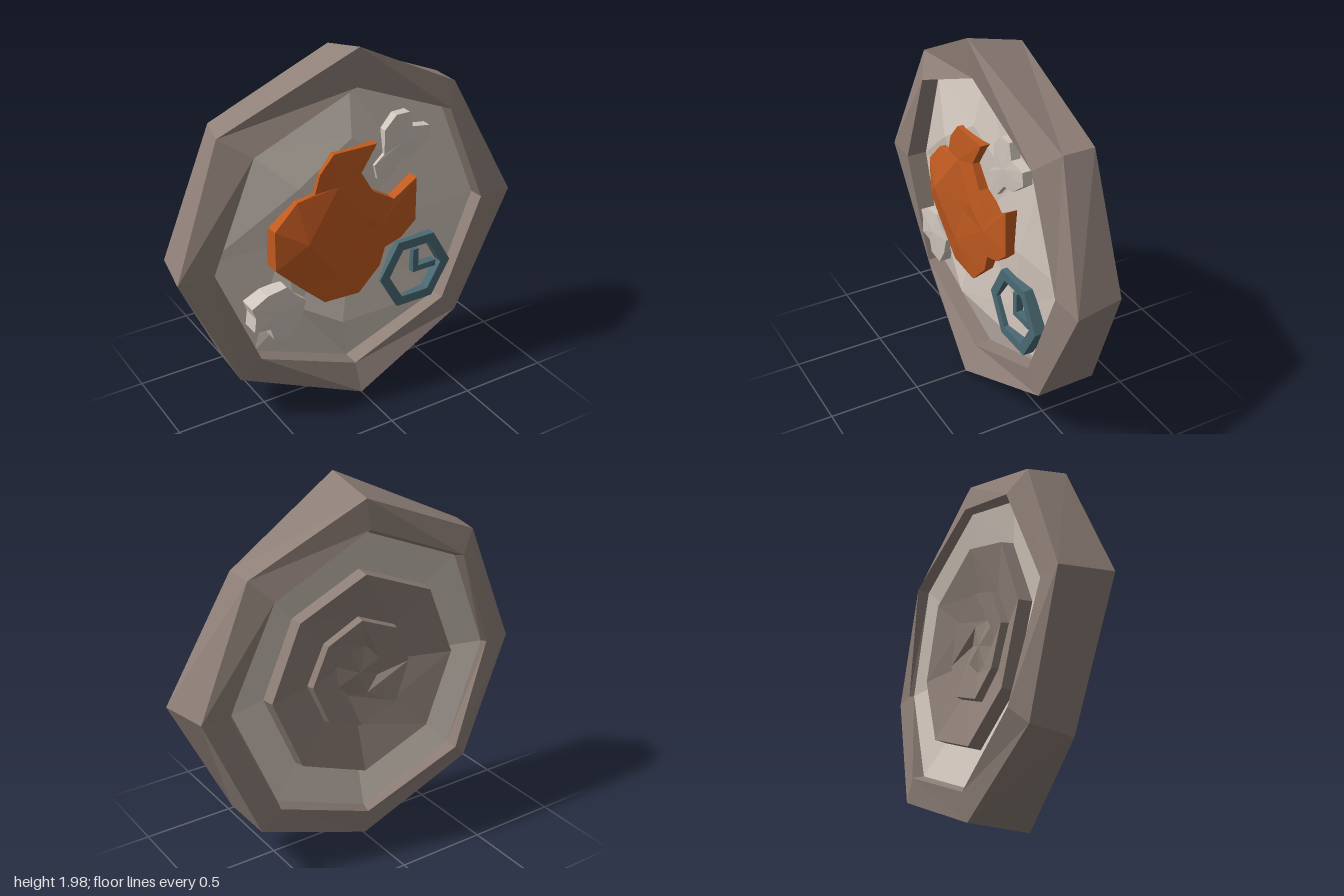
import * as THREE from 'three';

const mat = (name, color) => {
  const m = new THREE.MeshStandardMaterial({ color });
  m.name = name;
  return m;
};

// Faceted mesh from a list of triangles (each corner is [x, y, z])
function facets(name, tris, material) {
  const g = new THREE.BufferGeometry();
  g.setAttribute('position', new THREE.Float32BufferAttribute(tris.flat(2), 3));
  g.computeVertexNormals();
  const mesh = new THREE.Mesh(g, material);
  mesh.name = name;
  return mesh;
}

// Skin rings of equal length, running from the front outwards to the back
function loft(rings) {
  const tris = [];
  for (let r = 0; r < rings.length - 1; r++) {
    const a = rings[r], b = rings[r + 1];
    a.forEach((p, i) => {
      const j = (i + 1) % a.length;
      tris.push([p, b[i], b[j]], [p, b[j], a[j]]);
    });
  }
  return tris;
}

// Raised relief: an outline joined to a ring of hubs, which fan to a centre
function relief(outline, hubs, pick, centre) {
  const tris = [];
  outline.forEach((p, i) => {
    const j = (i + 1) % outline.length, h = hubs[pick[i]], k = hubs[pick[j]];
    tris.push([p, outline[j], h]);
    if (h !== k) tris.push([outline[j], k, h]);
  });
  if (hubs.length > 2) hubs.forEach((h, i) => tris.push([h, hubs[(i + 1) % hubs.length], centre]));
  return tris;
}

const atZ = (pts, z) => pts.map(([x, y]) => [x, y, z]);
const skirt = (pts, z) => loft([pts, atZ(pts, z)]);

// Eight-sided ring from the right corner anticlockwise; depths repeat around it
const MID = 0.96;
function octagon(r, depths, twist = 0) {
  return Array.from({ length: 8 }, (_, i) => {
    const a = i * Math.PI / 4 + twist;
    return [r * Math.cos(a), MID + r * Math.sin(a), depths[i % depths.length]];
  });
}

export function createModel() {
  const group = new THREE.Group();
  const stone = mat('brown stone', 0x8f8078);
  const pale = mat('pale stone', 0xd2c6bc);
  const chip = mat('pale chip', 0xcfc5bc);
  const orange = mat('burnt orange', 0xc05a20);
  const teal = mat('slate teal', 0x4a6a74);

  // Outer rim, with an inner wall down to the recessed face
  const faceEdge = octagon(0.805, [0.05, 0.05, 0.06, 0.04, 0.02, 0.05, 0.04, 0.06]);
  const frontInner = octagon(0.807, [0.135]);
  const frontOuter = [
    [1, 0.96, 0.13], [0.67, 1.63, 0.03], [0, 1.98, 0.16], [-0.72, 1.63, 0.05],
    [-1, 0.96, 0.13], [-0.67, 0.26, 0.08], [0, 0, 0.2], [0.67, 0.28, 0.13],
  ];
  const backOuter = octagon(0.95, [-0.14, -0.14, -0.14, -0.14, -0.14, -0.15, -0.14, -0.19]);
  const backLip = octagon(0.8, [-0.145, -0.205, -0.17, -0.205, -0.15, -0.205, -0.17, -0.205]);
  const backStep = octagon(0.78, [-0.125, -0.145]);
  group.add(facets('rim',
    loft([faceEdge, frontInner, frontOuter, backOuter, backLip, backStep]), stone));

  // Uneven front face
  const faceHubs = [
    [0.4, 0.98, 0.1], [0.3, 1.3, 0.08], [-0.02, 1.5, 0.12], [-0.33, 1.3, 0.13],
    [-0.4, 1.0, 0.07], [-0.35, 0.62, 0.11], [-0.1, 0.47, 0.165], [0.36, 0.62, 0.08],
  ];
  group.add(facets('frontFace',
    relief(faceEdge, faceHubs, [0, 1, 2, 3, 4, 5, 6, 7], [0, 0.96, 0.1]), pale));

  // Back: pale sloping band, then stepped and slightly twisted inner dish
  const bandInner = octagon(0.57, [-0.07, -0.085]);
  group.add(facets('backBand', loft([backStep, bandInner]), pale));
  const centre = Array(8).fill([0, MID, -0.085]);
  group.add(facets('backDish', loft([
    bandInner, octagon(0.56, [-0.14, -0.15]), octagon(0.31, [-0.065, -0.08]),
    octagon(0.3, [-0.105, -0.115]), octagon(0.14, [-0.06, -0.08], 0.4), centre,
  ]), stone));

  // Large orange emblem
  const emblem = atZ([
    [0.11, 1.45], [-0.14, 1.45], [-0.22, 1.36], [-0.25, 1.26], [-0.35, 1.24], [-0.48, 1.11],
    [-0.48, 0.89], [-0.34, 0.75], [-0.2, 0.62], [0.01, 0.61], [0.14, 0.74], [0.17, 0.84],
    [0.27, 0.87], [0.36, 0.95], [0.36, 1.2], [0.22, 1.11], [0.09, 1.19], [0.02, 1.31],
  ], 0.15);
  const emblemHubs = [
    [-0.12, 1.27, 0.16], [-0.32, 1.02, 0.205], [-0.14, 0.78, 0.175],
    [0.14, 0.98, 0.16], [0.02, 1.08, 0.17],
  ];
  const emblemPick = [0, 0, 0, 0, 1, 1, 1, 2, 2, 2, 3, 3, 3, 3, 3, 3, 4, 0];
  group.add(facets('emblem', [
    ...relief(emblem, emblemHubs, emblemPick, [-0.08, 1.0, 0.165]), ...skirt(emblem, 0.05),
  ], orange));

  // Two small pale chips
  const addChip = (name, pts, z, peak) => {
    const edge = atZ(pts, z);
    group.add(facets(name, [
      ...relief(edge, [peak], edge.map(() => 0), peak), ...skirt(edge, 0.03),
    ], chip));
  };
  addChip('upperChip', [
    [0.25, 1.56], [0.18, 1.49], [0.18, 1.36], [0.12, 1.31], [0.14, 1.23], [0.21, 1.22], [0.28, 1.3],
    [0.36, 1.31], [0.465, 1.39], [0.455, 1.46], [0.35, 1.475], [0.33, 1.56],
  ], 0.115, [0.28, 1.4, 0.122]);
  addChip('lowerChip', [
    [-0.42, 0.78], [-0.53, 0.76], [-0.62, 0.71], [-0.6, 0.65], [-0.61, 0.57], [-0.52, 0.56],
    [-0.5, 0.49], [-0.4, 0.48], [-0.34, 0.57], [-0.31, 0.67], [-0.36, 0.71],
  ], 0.148, [-0.46, 0.65, 0.16]);

  // Hexagonal dial with two hands
  const dial = new THREE.Group();
  dial.name = 'dial';
  const hexagon = r => Array.from({ length: 6 }, (_, i) =>
    new THREE.Vector2(r * Math.cos(i * Math.PI / 3), r * Math.sin(i * Math.PI / 3)));
  const ringShape = new THREE.Shape(hexagon(0.228));
  ringShape.holes.push(new THREE.Path(hexagon(0.168)));
  const hands = new THREE.Shape([[-0.01, -0.02], [0.14, -0.02], [0.14, 0.015], [0.025, 0.015],
    [0.025, 0.12], [-0.01, 0.12]].map(p => new THREE.Vector2(...p)));
  for (const [name, shape, depth] of [['dialRing', ringShape, 0.095], ['dialHands', hands, 0.085]]) {
    const mesh = new THREE.Mesh(
      new THREE.ExtrudeGeometry(shape, { depth, bevelEnabled: false }), teal);
    mesh.name = name;
    dial.add(mesh);
  }
  dial.position.set(0.39, 0.62, 0.03);
  group.add(dial);

  return group;
}
